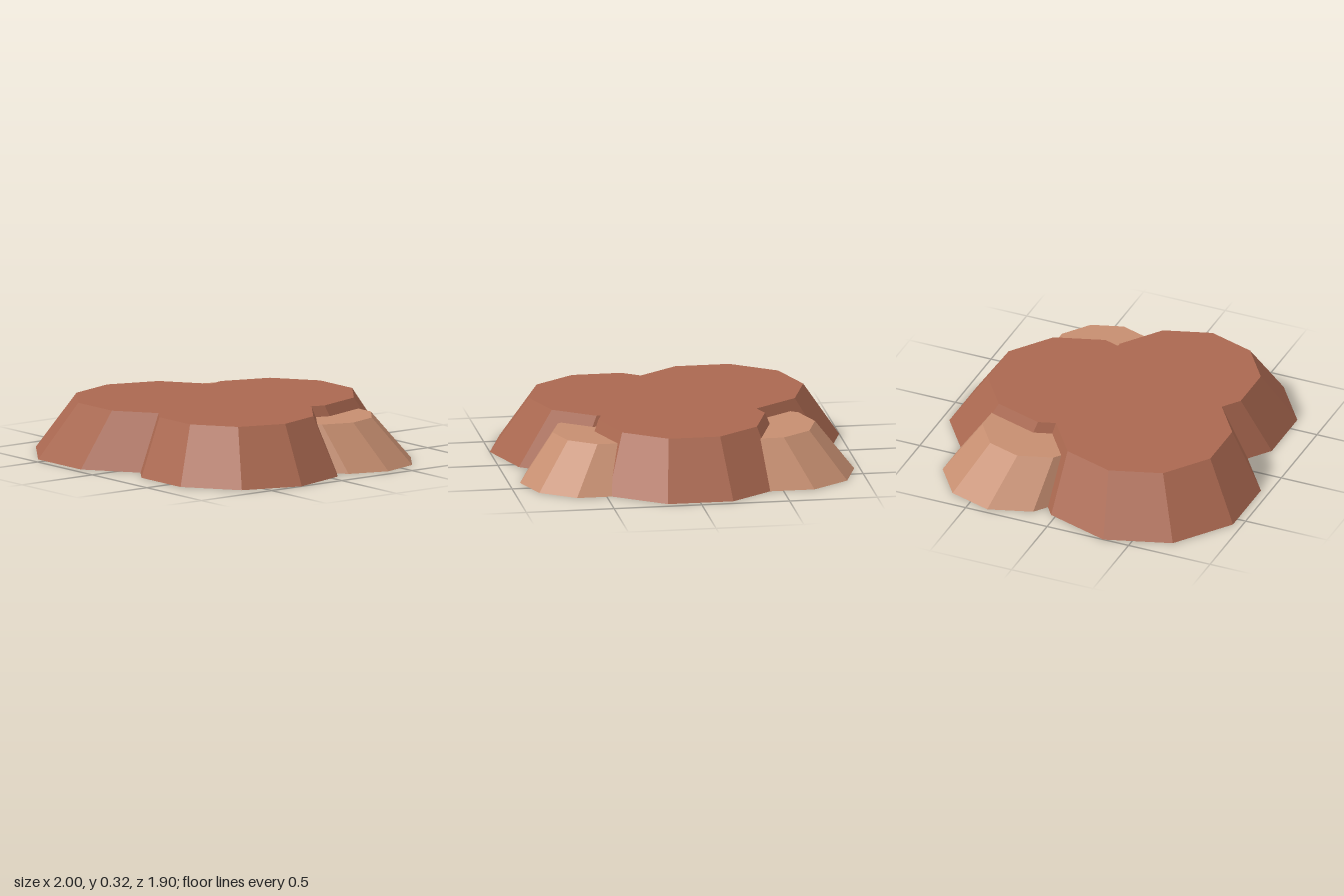
import * as THREE from 'three';

const SIDES = 10;
const TAPER = 0.785; // the whole mound narrows by this factor from foot to rim
const SHIFT_Z = 0.012;

// Ten-sided lobe, open underneath, leaning in towards the middle of the mound
function lobe(name, x, z, radius, height, material) {
  const profile = [[radius, 0], [radius, height], [0, height]].map(p => new THREE.Vector2(...p));
  const geometry = new THREE.LatheGeometry(profile, SIDES);
  geometry.rotateY(Math.PI / 2);
  geometry.translate(x, 0, z);
  const pos = geometry.attributes.position;
  for (let i = 0; i < pos.count; i++) {
    if (pos.getY(i) > height / 2) {
      pos.setX(i, pos.getX(i) * TAPER);
      pos.setZ(i, pos.getZ(i) * TAPER + SHIFT_Z);
    }
  }
  geometry.computeVertexNormals();
  const mesh = new THREE.Mesh(geometry, material);
  mesh.name = name;
  return mesh;
}

export function createModel() {
  const clay = new THREE.MeshStandardMaterial({ color: 0xaa6850, flatShading: true, side: THREE.DoubleSide });
  clay.name = 'clay brown';
  const sand = new THREE.MeshStandardMaterial({ color: 0xc68e70, flatShading: true, side: THREE.DoubleSide });
  sand.name = 'light sand';

  const model = new THREE.Group();
  model.name = 'moundPlatform';
  model.add(
    // Tall lobes sharing one flat top
    lobe('frontRightLobe', -0.365, 0.345, 0.635, 0.32, clay),
    lobe('frontLeftLobe', 0.42, 0.285, 0.58, 0.32, clay),
    lobe('backLobe', 0, -0.38, 0.605, 0.32, clay),
    // Lower side lobes
    lobe('sideRightLobe', -0.547, -0.382, 0.421, 0.26, sand),
    lobe('sideLeftLobe', 0.551, -0.382, 0.385, 0.26, sand),
  );
  return model;
}
